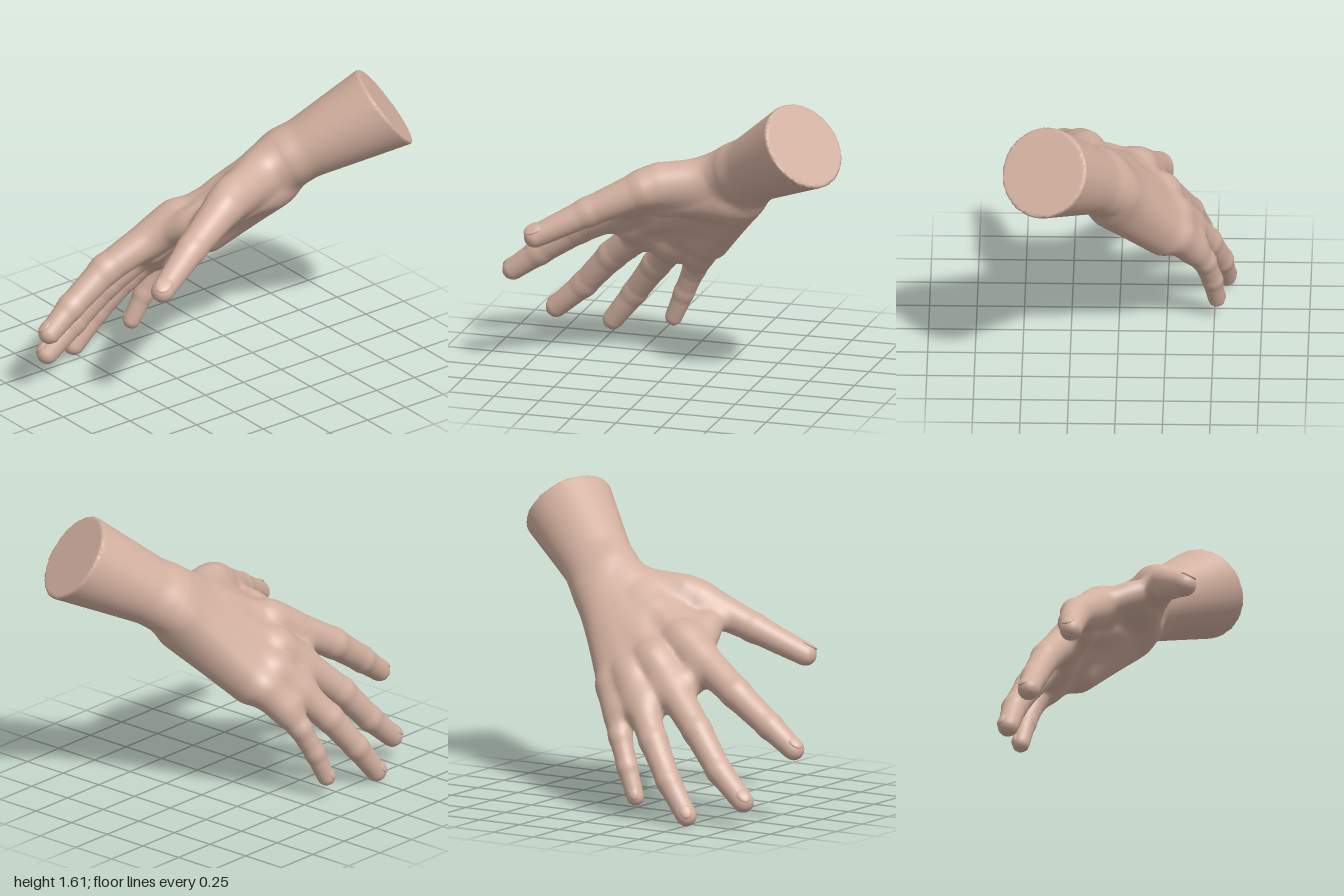
import * as THREE from 'three';

// Each bone is [x, y, z, radius]; a pair of them makes a tapered limb.
const WRIST = [[0.107, 1.16, -0.38, 0.128], [0.057, 1.115, -0.44, 0.126]];
const FOREARM = [
  [WRIST[0], [0.485, 1.545, -0.985, 0.243]],
  [WRIST[1], [0.47, 1.525, -1.0, 0.243]],
  [WRIST[0], [0.0, 1.0, -0.08, 0.07]],
  [WRIST[1], [-0.08, 0.91, -0.2, 0.07]],
];
const METACARPALS = [
  [[0.08, 1.11, -0.32, 0.085], [-0.10, 0.89, 0.20, 0.07]],
  [[0.05, 1.11, -0.36, 0.085], [-0.23, 0.79, 0.10, 0.07]],
  [[0.02, 1.09, -0.39, 0.085], [-0.30, 0.71, 0.0, 0.065]],
  [[-0.02, 1.05, -0.41, 0.085], [-0.31, 0.65, -0.10, 0.062]],
];
const HEEL = [0.03, 0.99, -0.28, 0.095];
const WEBS = [[-0.19, 0.71, 0.29, 0.062], [-0.32, 0.60, 0.13, 0.062], [-0.375, 0.54, 0.0, 0.058]];
const PADS = [
  ...WEBS.map((web) => [HEEL, web]),                          // hollow of the palm
  [WEBS[0], WEBS[1]], [WEBS[1], WEBS[2]],                     // skin between the fingers
  [[0.04, 0.97, -0.395, 0.095], [-0.225, 0.65, -0.14, 0.085]], // heel, little finger side
  [[0.10, 1.0, -0.28, 0.085], [0.13, 0.97, 0.02, 0.08]],      // ball of the thumb
  [[0.09, 1.13, -0.25, 0.075], [0.17, 1.10, 0.02, 0.08]],     // root of the thumb
  [[0.05, 1.03, -0.12, 0.08], [0.05, 0.93, 0.19, 0.062]],     // thumb web
  [[-0.11, 0.83, 0.30, 0.06], [0.13, 0.95, 0.215, 0.058]],
];
// dorsal: rough direction of the back of each fingertip
const DIGITS = {
  thumb: {
    bones: [[0.09, 1.09, -0.25, 0.10], [0.21, 1.05, 0.10, 0.102], [0.295, 0.92, 0.38, 0.078], [0.387, 0.79, 0.64, 0.061]],
    dorsal: [0.5, 0.6, 0.5], nail: 0.042,
  },
  indexFinger: {
    bones: [[-0.09, 0.89, 0.19, 0.102], [-0.19, 0.67, 0.58, 0.082], [-0.198, 0.515, 0.80, 0.07], [-0.193, 0.405, 0.945, 0.058]],
    dorsal: [-0.3, 0.8, 0.5], nail: 0.034,
  },
  middleFinger: {
    bones: [[-0.22, 0.80, 0.09, 0.1], [-0.36, 0.48, 0.45, 0.078], [-0.41, 0.29, 0.62, 0.068], [-0.427, 0.145, 0.78, 0.058]],
    dorsal: [-0.5, 0.6, 0.5], nail: 0.034,
  },
  ringFinger: {
    bones: [[-0.29, 0.72, -0.01, 0.095], [-0.46, 0.42, 0.24, 0.075], [-0.53, 0.23, 0.38, 0.065], [-0.555, 0.062, 0.508, 0.056]],
    dorsal: [-0.7, 0.5, 0.4], nail: 0.032,
  },
  littleFinger: {
    bones: [[-0.31, 0.65, -0.11, 0.085], [-0.45, 0.42, 0.025, 0.061], [-0.49, 0.27, 0.095, 0.054], [-0.512, 0.12, 0.16, 0.047]],
    dorsal: [-0.8, 0.4, 0.3], nail: 0.026,
  },
};
const CUT = { point: [0.375, 1.43, -0.845], normal: [0.38, 0.59, -0.712] };

// Distance to a tapered bone
function boneDistance(x, y, z, a, b) {
  const dx = b[0] - a[0], dy = b[1] - a[1], dz = b[2] - a[2];
  const px = x - a[0], py = y - a[1], pz = z - a[2];
  const t = Math.min(1, Math.max(0, (px * dx + py * dy + pz * dz) / (dx * dx + dy * dy + dz * dz)));
  return Math.hypot(px - t * dx, py - t * dy, pz - t * dz) - a[3] - t * (b[3] - a[3]);
}

// Smooth union of two distances
function blend(a, b, k) {
  const h = Math.max(k - Math.abs(a - b), 0) / k;
  return Math.min(a, b) - h * h * k / 4;
}

// Distance to the whole hand: palm and arm first, then each digit melted in
const PALM = [...FOREARM, ...METACARPALS, ...PADS];
const DIGIT_LIST = Object.values(DIGITS);
function handDistance(x, y, z) {
  let palm = 10;
  for (const [a, b] of PALM) palm = blend(palm, boneDistance(x, y, z, a, b), 0.08);
  let hand = palm;
  for (const { bones } of DIGIT_LIST) {
    let digit = 10;
    for (let i = 0; i < 3; i++) digit = blend(digit, boneDistance(x, y, z, bones[i], bones[i + 1]), 0.02);
    hand = blend(hand, blend(palm, digit, 0.07), 0.012);
  }
  const { point: p, normal: n } = CUT;
  const beyond = (x - p[0]) * n[0] + (y - p[1]) * n[1] + (z - p[2]) * n[2];
  return -blend(-hand, -beyond, 0.015);
}

// Skin over a distance function: one vertex per crossed grid cell, one quad per crossed edge
function skinGeometry(distance, min, max, step) {
  const size = min.map((m, i) => Math.ceil((max[i] - m) / step) + 1);
  const stride = [1, size[0], size[0] * size[1]];
  const field = new Float32Array(size[0] * size[1] * size[2]);
  const cellVertex = new Int32Array(field.length).fill(-1);
  const positions = [], normals = [], index = [];
  const eachCell = (visit) => {
    for (let k = 0; k < size[2]; k++)
      for (let j = 0; j < size[1]; j++)
        for (let i = 0; i < size[0]; i++) visit([i, j, k], i + j * stride[1] + k * stride[2]);
  };
  eachCell((c, id) => { field[id] = distance(...c.map((v, i) => min[i] + v * step)); });

  eachCell((c, id) => {
    if (c.some((v, i) => v >= size[i] - 1)) return;
    const sum = [0, 0, 0];
    let count = 0;
    for (let corner = 0; corner < 8; corner++) {
      const bits = [corner & 1, (corner >> 1) & 1, corner >> 2];
      const from = id + bits[0] + bits[1] * stride[1] + bits[2] * stride[2];
      for (let a = 0; a < 3; a++) {
        if (bits[a]) continue;
        const f0 = field[from], f1 = field[from + stride[a]];
        if ((f0 < 0) === (f1 < 0)) continue;
        for (let i = 0; i < 3; i++) sum[i] += bits[i] + (i === a ? f0 / (f0 - f1) : 0);
        count++;
      }
    }
    if (!count) return;
    cellVertex[id] = positions.length / 3;
    const p = sum.map((s, i) => min[i] + (c[i] + s / count) * step);
    const e = 0.008;
    const n = new THREE.Vector3(
      distance(p[0] + e, p[1], p[2]) - distance(p[0] - e, p[1], p[2]),
      distance(p[0], p[1] + e, p[2]) - distance(p[0], p[1] - e, p[2]),
      distance(p[0], p[1], p[2] + e) - distance(p[0], p[1], p[2] - e),
    ).normalize();
    positions.push(...p);
    normals.push(n.x, n.y, n.z);
  });

  eachCell((c, id) => {
    for (let a = 0; a < 3; a++) {
      const b = (a + 1) % 3, d = (a + 2) % 3;
      if (c[a] >= size[a] - 1 || !c[b] || !c[d]) continue;
      const inside = field[id] < 0;
      if (inside === (field[id + stride[a]] < 0)) continue;
      const quad = [id, id - stride[b], id - stride[b] - stride[d], id - stride[d]].map((q) => cellVertex[q]);
      if (!inside) quad.reverse();
      index.push(quad[0], quad[1], quad[2], quad[0], quad[2], quad[3]);
    }
  });

  const geometry = new THREE.BufferGeometry();
  geometry.setAttribute('position', new THREE.Float32BufferAttribute(positions, 3));
  geometry.setAttribute('normal', new THREE.Float32BufferAttribute(normals, 3));
  geometry.setIndex(index);
  return geometry;
}

// Nail lying almost flush on the back of a fingertip
function createNail({ bones, dorsal, nail }, material) {
  const joint = new THREE.Vector3(...bones[2]), tip = new THREE.Vector3(...bones[3]);
  const along = tip.clone().sub(joint).normalize();
  const up = new THREE.Vector3(...dorsal);
  up.addScaledVector(along, -up.dot(along)).normalize();
  const side = new THREE.Vector3().crossVectors(up, along);
  const mesh = new THREE.Mesh(new THREE.SphereGeometry(1, 24, 16), material);
  mesh.scale.set(nail, 0.014, nail * 1.35);
  mesh.quaternion.setFromRotationMatrix(new THREE.Matrix4().makeBasis(side, up, along));
  mesh.position.copy(tip).addScaledVector(up, bones[3][3] - 0.009).addScaledVector(along, -0.012);
  return mesh;
}

export function createModel() {
  const group = new THREE.Group();
  group.name = 'hand';
  const skin = new THREE.MeshStandardMaterial({ color: 0xd2b09f });
  skin.name = 'skin';

  const body = new THREE.Mesh(skinGeometry(handDistance, [-0.7, -0.06, -1.1], [0.72, 1.74, 1.08], 0.017), skin);
  body.name = 'handAndForearm';
  group.add(body);

  for (const [name, digit] of Object.entries(DIGITS)) {
    const nail = createNail(digit, skin);
    nail.name = `${name}Nail`;
    group.add(nail);
  }
  return group;
}
